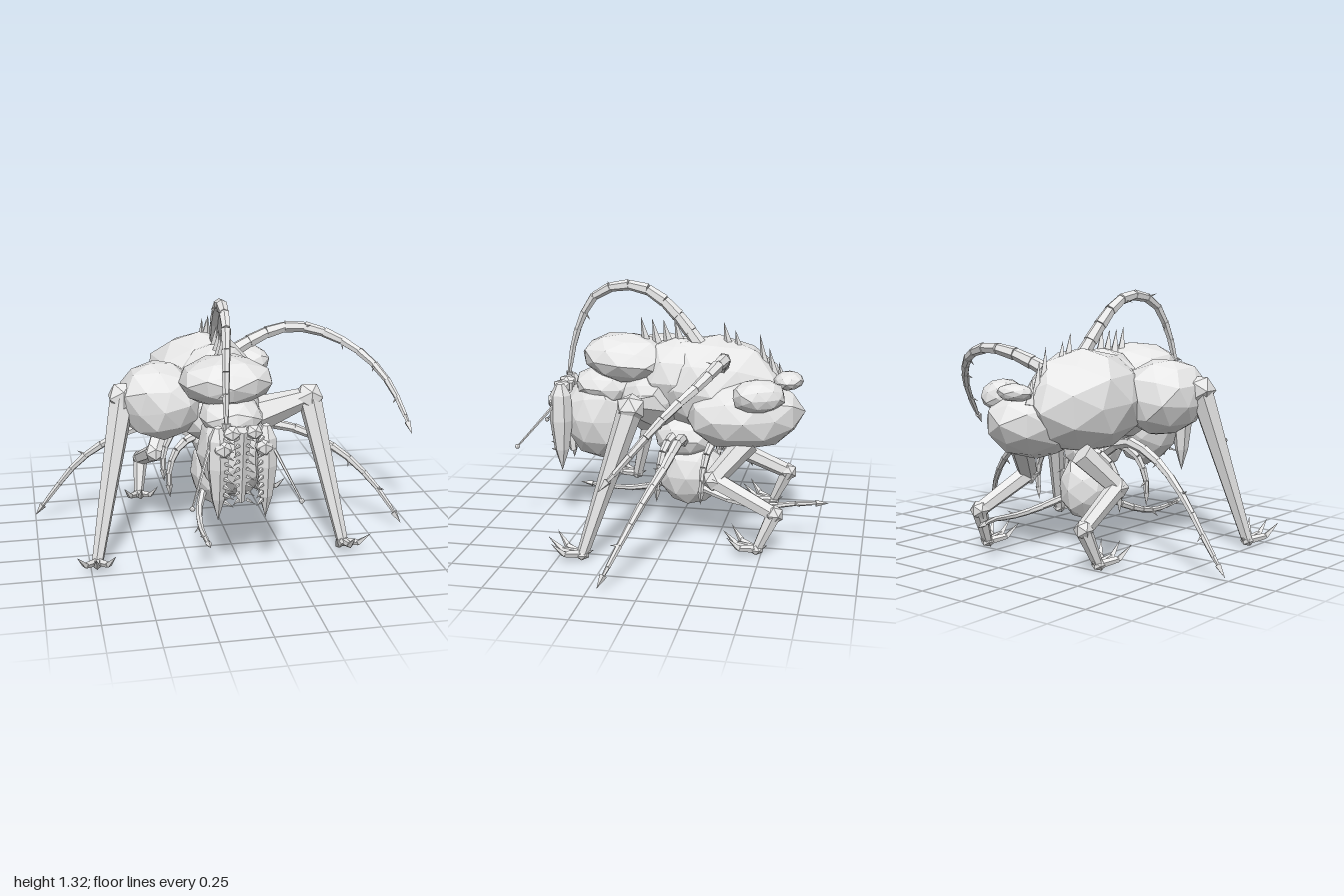
import * as THREE from 'three';

const stone = new THREE.MeshStandardMaterial({ color: 0xe7e7e7 });
stone.name = 'pale grey';
const V = (p) => new THREE.Vector3(...p);
const UP = new THREE.Vector3(0, 1, 0);

// faceted mesh: separate faces give hard normals
function facet(name, geo, parent) {
  const g = geo.index ? geo.toNonIndexed() : geo;
  g.computeVertexNormals();
  const m = new THREE.Mesh(g, stone);
  m.name = name;
  parent.add(m);
  return m;
}

// low-poly lump with a slightly uneven surface
function lump(name, parent, pos, size, detail = 1, rot = [0, 0, 0]) {
  const geo = new THREE.IcosahedronGeometry(1, detail);
  const p = geo.attributes.position, v = new THREE.Vector3();
  for (let i = 0; i < p.count; i++) {
    v.fromBufferAttribute(p, i);
    v.multiplyScalar(1.01 + 0.05 * Math.sin(v.x * 7 + pos[0] * 30) * Math.cos(v.y * 5 + v.z * 6 + pos[2] * 20));
    p.setXYZ(i, v.x, v.y, v.z);
  }
  const m = facet(name, geo, parent);
  m.scale.set(...size);
  m.position.set(...pos);
  m.rotation.set(...rot);
  return m;
}

// tapered bar from a to b
function bar(name, parent, a, b, r0, r1, sides = 6) {
  const A = V(a), d = V(b).sub(A), len = d.length();
  const m = facet(name, new THREE.CylinderGeometry(r1, r0, len, sides), parent);
  m.position.copy(A).addScaledVector(d, 0.5);
  m.quaternion.setFromUnitVectors(UP, d.normalize());
  return m;
}

const spike = (name, parent, a, b, r) => bar(name, parent, a, b, r, 0, 4);

// segmented feeler with barbs and a spear tip
function tentacle(name, parent, points, r0, r1, count = 10) {
  const g = new THREE.Group();
  g.name = name;
  parent.add(g);
  const pts = new THREE.CatmullRomCurve3(points.map(V)).getSpacedPoints(count);
  const rad = (i) => r0 + (r1 - r0) * i / count;
  for (let i = 0; i < count - 1; i++) {
    const a = pts[i], b = pts[i + 1];
    bar('segment', g, a.toArray(), b.toArray(), rad(i), rad(i + 1) * 0.9, 6);
    if (i > 1 && i % 2) {
      const dir = b.clone().sub(a).normalize();
      const side = dir.clone().cross(i % 4 === 1 ? V([0.3, 0.5, 1]) : V([-0.6, 0.8, -0.4])).normalize();
      const tip = b.clone().addScaledVector(side, rad(i) + 0.026).addScaledVector(dir, 0.025);
      spike('barb', g, b.toArray(), tip.toArray(), 0.01);
    }
  }
  const a = pts[count - 1], b = pts[count], d = b.clone().sub(a).normalize();
  const neck = b.clone().addScaledVector(d, -0.07);
  bar('tipStem', g, a.toArray(), neck.toArray(), r1, r1 * 0.7, 5);
  spike('spearTip', g, neck.toArray(), b.toArray(), Math.max(r1 * 1.6, 0.015));
}

// foot with three upturned toes and a small heel
function foot(parent, p, turn) {
  const g = new THREE.Group();
  g.name = 'clawedFoot';
  g.position.set(...p);
  g.rotation.y = turn;
  parent.add(g);
  lump('footPad', g, [0, 0.005, 0], [0.035, 0.03, 0.04], 0);
  for (const a of [-0.6, 0, 0.6]) {
    const s = Math.sin(a), c = Math.cos(a);
    const mid = [s * 0.1, 0.025, c * 0.1];
    bar('toe', g, [0, 0.005, 0], mid, 0.022, 0.016, 5);
    spike('claw', g, mid, [s * 0.17, 0.095, c * 0.17], 0.017);
  }
  spike('heelSpur', g, [0, 0, 0], [0, 0.03, -0.06], 0.018);
}

// leg made of jointed bars
function leg(name, parent, joints, radii, turn) {
  const g = new THREE.Group();
  g.name = name;
  parent.add(g);
  for (let i = 0; i < joints.length - 1; i++) {
    bar('legSegment', g, joints[i], joints[i + 1], radii[i][0], radii[i][1], 6);
    if (i) {
      const r = radii[i][0] * 1.2;
      lump('joint', g, joints[i], [r, r, r], 0);
    }
  }
  foot(g, joints[joints.length - 1], turn);
}

export function createModel() {
  const root = new THREE.Group();
  root.name = 'creature';

  // body masses
  lump('mainBody', root, [-0.09, 0.785, -0.19], [0.285, 0.265, 0.375], 1, [-0.08, 0.08, 0]);
  lump('withers', root, [-0.04, 0.83, 0], [0.21, 0.21, 0.2]);
  lump('abdomen', root, [0.08, 0.68, -0.37], [0.235, 0.185, 0.305], 1, [0.05, 0.1, 0]);
  lump('neckHump', root, [-0.04, 0.92, 0.27], [0.24, 0.125, 0.25], 1, [-0.08, 0, 0]);
  lump('chest', root, [-0.04, 0.72, 0.13], [0.22, 0.18, 0.2]);
  lump('neck', root, [-0.03, 0.77, 0.38], [0.16, 0.1, 0.18]);
  lump('shoulderLump', root, [-0.355, 0.79, 0.13], [0.22, 0.2, 0.235], 1, [0, 0, -0.35]);
  lump('sideLump', root, [0.23, 0.81, -0.46], [0.11, 0.085, 0.14], 1, [0, 0.5, 0]);
  lump('tailLump', root, [0.03, 0.85, -0.59], [0.1, 0.045, 0.075]);
  lump('bellyTop', root, [-0.02, 0.51, -0.04], [0.15, 0.12, 0.165]);
  lump('bellySac', root, [-0.02, 0.31, -0.07], [0.145, 0.185, 0.18]);

  // head
  const head = new THREE.Group();
  head.name = 'head';
  root.add(head);
  lump('skull', head, [-0.025, 0.6, 0.42], [0.18, 0.235, 0.2]);
  const blade = [[0, 0], [0.035, 0.12], [0.055, 0.28], [0.05, 0.42], [0.02, 0.48], [0, 0.49]]
    .map((p) => new THREE.Vector2(...p));
  for (const s of [-1, 1]) {
    const x = -0.02 + s * 0.118;
    const m = facet('jawBlade', new THREE.LatheGeometry(blade, 6), head);
    m.position.set(x, 0.31, 0.61);
    m.scale.z = 1.15;
    for (let i = 0; i < 9; i++) {
      const y = 0.42 + i * 0.04;
      spike('jawTooth', head, [x - s * 0.025, y, 0.645], [x - s * 0.065, y - 0.015, 0.69], 0.012);
      spike('mouthTooth', head, [-0.02 + s * 0.02, y, 0.63], [-0.02 + s * 0.055, y - 0.015, 0.66], 0.01);
    }
    lump('eye', head, [-0.02 + s * 0.1, 0.69, 0.645], [0.05, 0.05, 0.045], 0);
    lump('browKnob', head, [-0.02 + s * 0.055, 0.76, 0.62], [0.045, 0.04, 0.05], 0);
    const tip = [-0.035 + s * 0.262, 0.47, 0.815];
    bar('antenna', head, [-0.03 + s * 0.15, 0.7, 0.62], tip, 0.009, 0.005, 5);
    lump('antennaBall', head, tip, [0.013, 0.013, 0.013]);
  }
  bar('mouthRidge', head, [-0.02, 0.39, 0.58], [-0.02, 0.77, 0.61], 0.02, 0.045, 5);

  // front legs
  leg('frontLeftLeg', root, [[0.1, 0.66, 0.12], [0.43, 0.77, 0.15], [0.57, 0.03, 0.375]],
    [[0.105, 0.05], [0.064, 0.03]], 0.1);
  leg('frontRightLeg', root, [[-0.3, 0.78, 0.12], [-0.545, 0.835, 0.18], [-0.715, 0.03, 0.385]],
    [[0.1, 0.055], [0.066, 0.03]], -0.1);

  // hind legs
  for (const s of [-1, 1]) {
    const x = (v) => -0.035 + s * v;
    leg(s > 0 ? 'hindLeftLeg' : 'hindRightLeg', root,
      [[x(0.2), 0.55, -0.4], [x(0.3), 0.37, -0.24], [x(0.345), 0.22, -0.56], [x(0.37), 0.03, -0.475]],
      [[0.065, 0.05], [0.05, 0.04], [0.042, 0.025]], 0);
  }

  // long feelers
  tentacle('topTentacle', root, [[-0.01, 0.99, -0.13], [-0.03, 1.13, -0.02], [-0.04, 1.23, 0.08],
    [-0.05, 1.295, 0.2], [-0.06, 1.295, 0.34], [-0.07, 1.235, 0.46], [-0.085, 1.1, 0.54],
    [-0.095, 0.95, 0.59], [-0.1, 0.74, 0.625]], 0.04, 0.014, 12);
  tentacle('upperLeftTentacle', root, [[0.1, 0.92, -0.25], [0.28, 1.0, -0.29], [0.42, 1.03, -0.31],
    [0.55, 1.02, -0.29], [0.7, 0.965, -0.23], [0.83, 0.88, -0.13], [0.92, 0.77, -0.03],
    [0.97, 0.65, 0.07], [1, 0.53, 0.17]], 0.04, 0.013, 12);
  tentacle('lowerLeftTentacle', root, [[0.08, 0.5, -0.05], [0.22, 0.56, -0.06], [0.37, 0.54, -0.05],
    [0.5, 0.49, -0.03], [0.67, 0.385, 0.03], [0.83, 0.22, 0.11], [0.95, 0.03, 0.2]], 0.032, 0.012);
  tentacle('lowerRightTentacle', root, [[-0.12, 0.5, -0.08], [-0.28, 0.58, -0.11], [-0.45, 0.55, -0.15],
    [-0.6, 0.47, -0.19], [-0.75, 0.35, -0.24], [-0.88, 0.19, -0.27], [-1, 0.03, -0.28]], 0.032, 0.012);
  tentacle('forwardTentacle', root, [[-0.1, 0.24, 0], [-0.15, 0.18, 0.13], [-0.17, 0.14, 0.29],
    [-0.17, 0.145, 0.48], [-0.17, 0.155, 0.585]], 0.022, 0.011, 8);
  tentacle('rearTentacle', root, [[0.07, 0.26, -0.13], [0.13, 0.21, -0.33], [0.14, 0.2, -0.5],
    [0.12, 0.215, -0.65], [0.07, 0.21, -0.82]], 0.022, 0.011, 8);

  // short hanging arms beside the belly
  for (const s of [-1, 1]) for (const z of [0.03, -0.2]) {
    const x = (v) => -0.025 + s * v;
    const arm = [[x(0.12), 0.54, z - 0.03], [x(0.21), 0.5, z], [x(0.27), 0.38, z + 0.02], [x(0.27), 0.22, z + 0.03]];
    tentacle('bellyArm', root, arm, 0.026, 0.012, 6);
  }

  // spines along the back: z, base height, tip height
  const spines = [[0.17, 0.98, 1.14], [0.11, 0.98, 1.13], [0.05, 0.99, 1.13], [-0.01, 1, 1.14],
    [-0.27, 0.98, 1.13], [-0.33, 0.95, 1.09], [-0.46, 0.87, 1.07], [-0.51, 0.83, 1], [-0.56, 0.79, 0.93]];
  for (const [z, base, tip] of spines) {
    spike('backSpine', root, [-0.04, base, z], [-0.035, tip, z + 0.03], 0.03);
  }
  return root;
}
